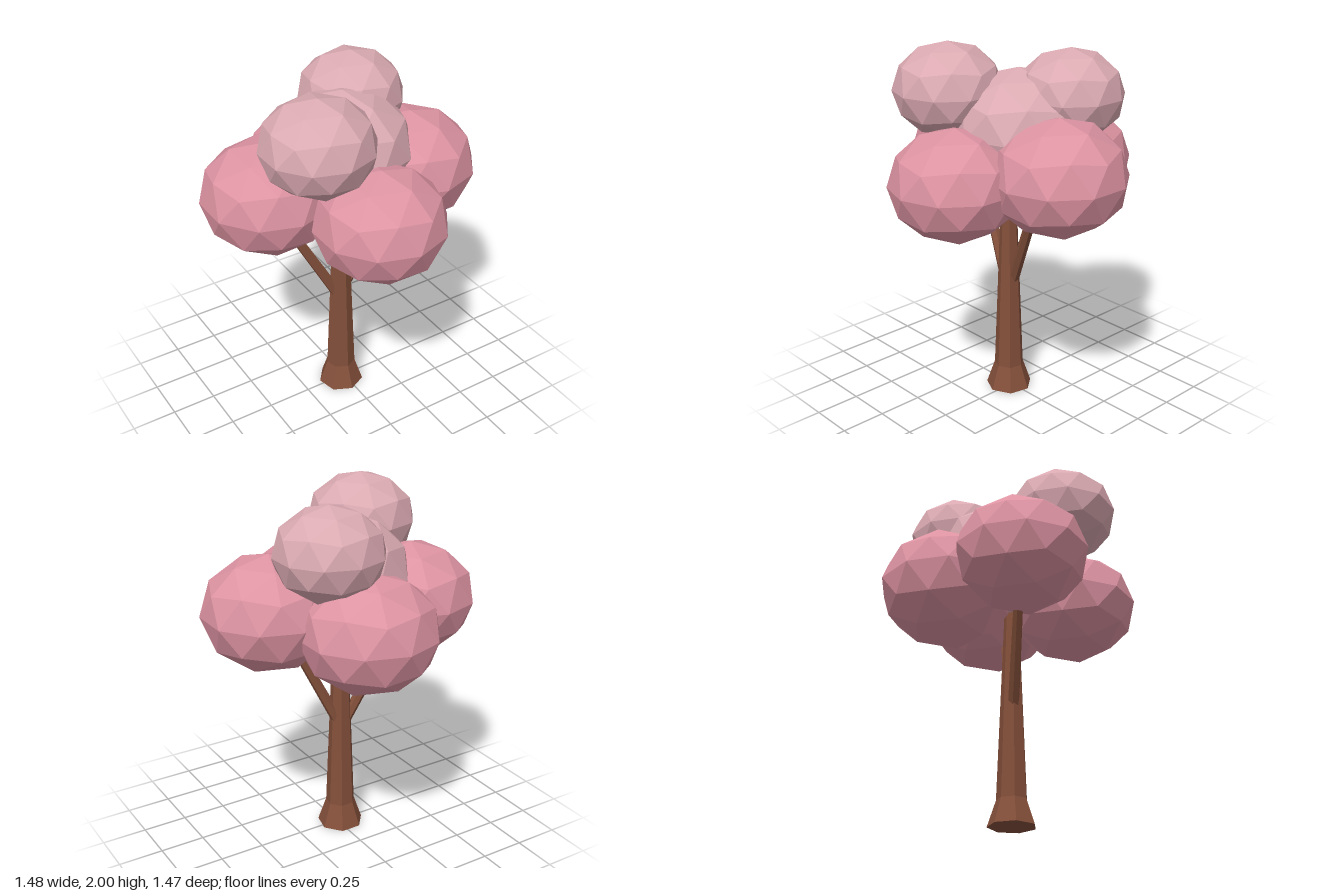
import * as THREE from 'three';

export function createModel() {
  const tree = new THREE.Group();
  tree.name = 'blossomTree';

  const material = (name, color) => {
    const m = new THREE.MeshStandardMaterial({ color, flatShading: true });
    m.name = name;
    return m;
  };
  const bark = material('barkBrown', 0x84503b);
  const pink = material('blossomPink', 0xdd93a2);
  const pale = material('blossomPale', 0xdbaab2);

  const add = (name, geometry, mat) => {
    const mesh = new THREE.Mesh(geometry, mat);
    mesh.name = name;
    tree.add(mesh);
    return mesh;
  };

  // Tapered prism between two points
  const limb = (name, from, to, r0, r1, sides) => {
    const a = new THREE.Vector3(...from);
    const b = new THREE.Vector3(...to);
    const dir = b.clone().sub(a);
    const mesh = add(name, new THREE.CylinderGeometry(r1, r0, dir.length(), sides), bark);
    mesh.position.copy(a).lerp(b, 0.5);
    mesh.quaternion.setFromUnitVectors(new THREE.Vector3(0, 1, 0), dir.normalize());
  };

  // Seven-sided trunk with a flared foot
  const profile = [[0, 0], [0.13, 0], [0.083, 0.14], [0.062, 0.68], [0.042, 1.2], [0, 1.2]];
  const trunk = add('trunk',
    new THREE.LatheGeometry(profile.map(([r, y]) => new THREE.Vector2(r, y)), 7), bark);
  trunk.position.x = -0.022;

  // Two forked branches
  limb('rightBranch', [-0.04, 0.63, 0], [-0.315, 1.15, -0.08], 0.032, 0.027, 6);
  limb('leftBranch', [-0.005, 0.65, -0.01], [0.235, 1.15, 0.065], 0.032, 0.027, 6);

  // Faceted leaf clumps: an icosphere with a vertex on top, slightly flattened
  const clumpGeometry = new THREE.IcosahedronGeometry(1, 1);
  clumpGeometry.rotateZ(-Math.atan(2 / (1 + Math.sqrt(5))));
  const clumps = [
    ['frontClump', pink, [-0.02, 1.315, 0.375], 0.355],
    ['rightClump', pink, [-0.4, 1.36, -0.1], 0.36],
    ['leftClump', pink, [0.39, 1.378, 0.035], 0.365],
    ['backClump', pink, [0.037, 1.32, -0.36], 0.375],
    ['centreClump', pale, [0.015, 1.55, -0.04], 0.38],
    ['upperRightClump', pale, [-0.275, 1.745, 0.2], 0.3],
    ['upperLeftClump', pale, [0.195, 1.727, -0.24], 0.292],
  ];
  for (const [name, mat, position, r] of clumps) {
    const clump = add(name, clumpGeometry, mat);
    clump.position.set(...position);
    clump.scale.set(r, r * 0.85, r);
  }

  return tree;
}
